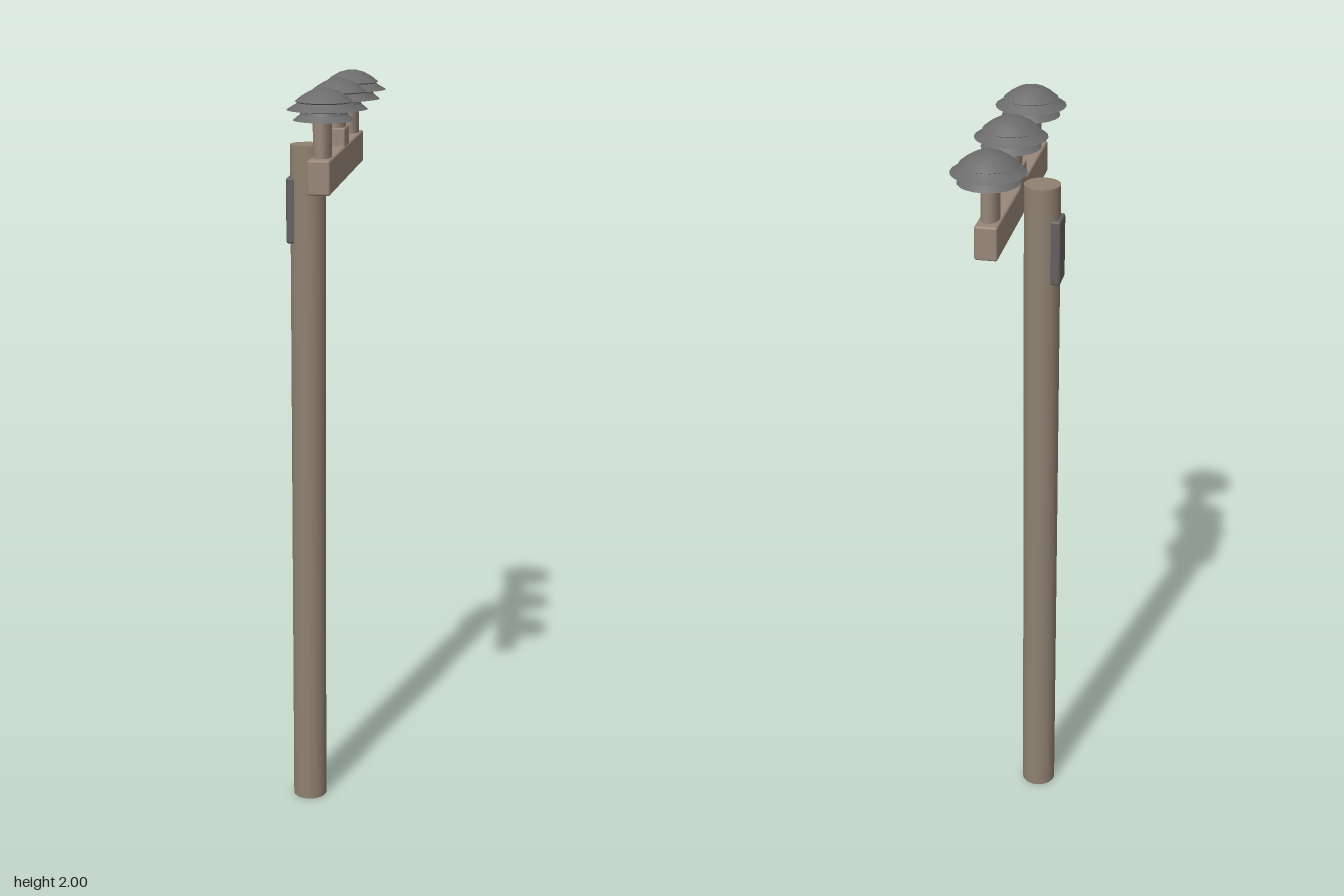
import * as THREE from 'three';
import { RoundedBoxGeometry } from 'three/addons/geometries/RoundedBoxGeometry.js';
import { toCreasedNormals } from 'three/addons/utils/BufferGeometryUtils.js';

export function createModel() {
  const model = new THREE.Group();
  model.name = 'utilityPole';
  const paint = (name, color) => {
    const m = new THREE.MeshStandardMaterial({ color });
    m.name = name;
    return m;
  };
  const poleWood = paint('poleWood', 0x8f8171);
  const beamWood = paint('beamWood', 0x988779);
  const capGrey = paint('capGrey', 0x6c6c6c);
  const boxGrey = paint('boxGrey', 0x62615f);

  const add = (name, geometry, material, x, y, z, parent = model) => {
    const mesh = new THREE.Mesh(geometry, material);
    mesh.name = name;
    mesh.position.set(x, y, z);
    parent.add(mesh);
    return mesh;
  };

  // Upright pole
  add('pole', new THREE.CylinderGeometry(0.046, 0.046, 1.834, 24), poleWood, -0.06, 0.917, -0.001);

  // Crossbeam fixed to the side of the pole
  add('crossbeam', new RoundedBoxGeometry(0.056, 0.084, 0.634, 1, 0.005), beamWood, 0.015, 1.793, 0.002);

  // Insulators: a flattened post and a cap with three stacked skirts
  const profile = [
    [0, 1.924], [0.075, 1.924], [0.058, 1.938], [0.056, 1.944],
    [0.091, 1.949], [0.069, 1.962], [0.064, 1.966], [0.07, 1.969],
    [0.054, 1.982], [0.035, 1.993], [0.014, 1.999], [0, 2],
  ].map(([r, y]) => new THREE.Vector2(r, y - 1.924));
  const capGeometry = toCreasedNormals(new THREE.LatheGeometry(profile, 22), 0.5);
  const postGeometry = new THREE.CylinderGeometry(0.035, 0.035, 0.1, 20);
  postGeometry.scale(0.65, 1, 1);

  for (const [name, z] of [['front', 0.253], ['middle', 0.002], ['rear', -0.256]]) {
    const insulator = new THREE.Group();
    insulator.name = name + 'Insulator';
    insulator.position.set(0.015, 0, z);
    add('insulatorPost', postGeometry, beamWood, 0, 1.878, 0, insulator);
    add('insulatorCap', capGeometry, capGrey, 0.004, 1.924, 0, insulator);
    model.add(insulator);
  }

  // Wider foot under the middle insulator
  add('middleFoot', new RoundedBoxGeometry(0.054, 0.07, 0.076, 1, 0.004), beamWood, 0.014, 1.845, 0.002);

  // Equipment plate on the back of the pole
  add('equipmentBox', new RoundedBoxGeometry(0.026, 0.17, 0.071, 1, 0.006), boxGrey, -0.1, 1.666, -0.003);

  return model;
}
